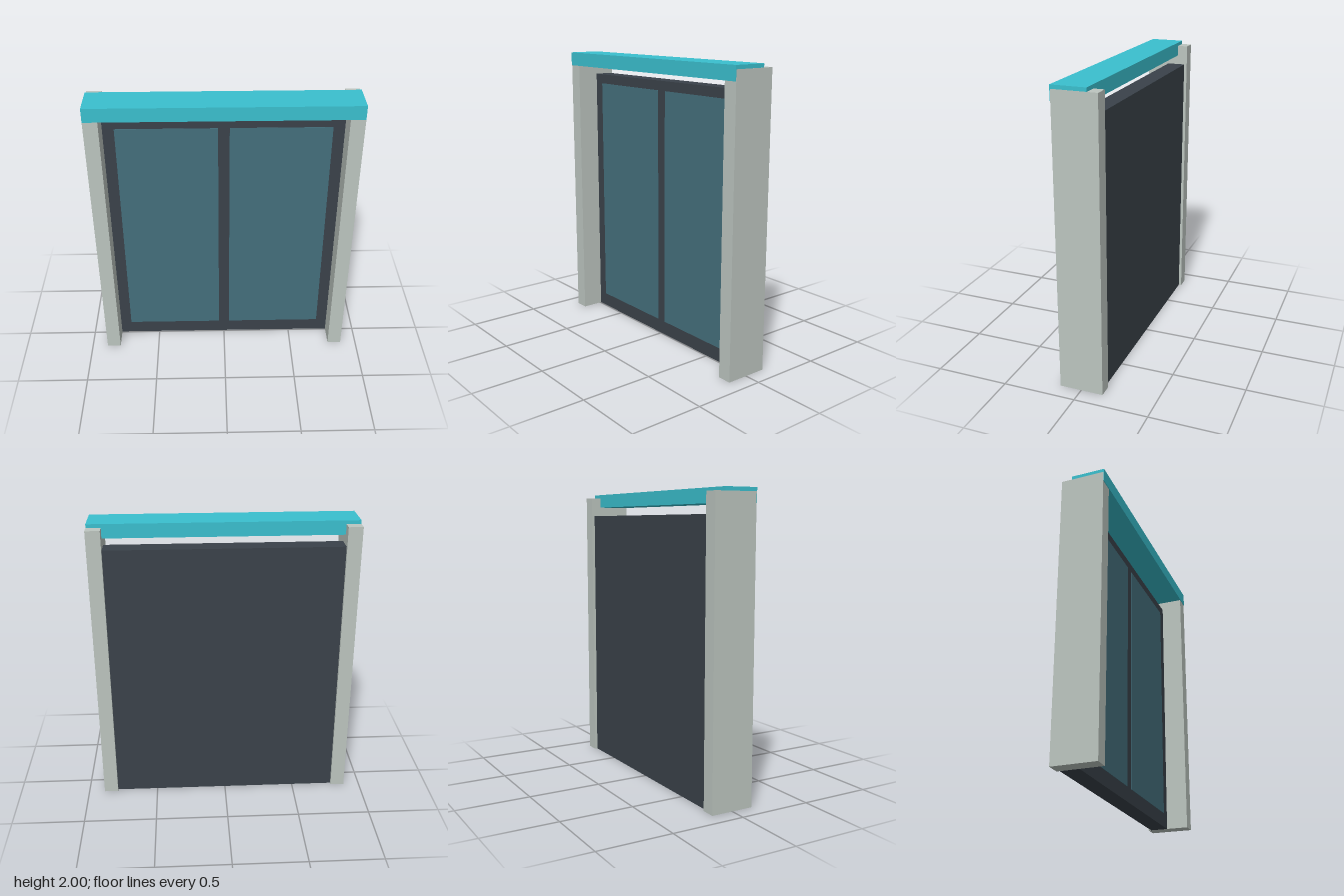
import * as THREE from 'three';

const paint = (color) => new THREE.MeshStandardMaterial({ color });

// Box given by its minimum and maximum corners
function block(name, material, [x0, y0, z0], [x1, y1, z1]) {
  const mesh = new THREE.Mesh(new THREE.BoxGeometry(x1 - x0, y1 - y0, z1 - z0), material);
  mesh.position.set((x0 + x1) / 2, (y0 + y1) / 2, (z0 + z1) / 2);
  mesh.name = name;
  return mesh;
}

export function createModel() {
  const model = new THREE.Group();
  model.name = 'slidingDoor';

  const postPaint = paint(0xbcc5bf);
  const doorPaint = paint(0x3a424a);
  const glassPaint = paint(0x446f7c);
  const headerPaint = paint(0x3abfce);

  // Door slab between the posts, set towards the back
  model.add(block('doorPanel', doorPaint, [-0.79, 0, -0.13], [0.79, 1.84, -0.006]));

  // Header beam across the front of the posts
  model.add(block('header', headerPaint, [-0.886, 1.905, -0.08], [0.886, 2, 0.152]));

  for (const [side, s] of [['left', 1], ['right', -1]]) {
    // Side posts
    const post = block(side + 'Post', postPaint, [0.79, 0, -0.15], [0.887, 1.975, 0.148]);
    // Thin glass panes on the front of the slab
    const glass = block(side + 'Glass', glassPaint, [0.038, 0.1, -0.02], [0.713, 1.773, -0.003]);
    for (const part of [post, glass]) {
      part.position.x *= s;
      model.add(part);
    }
  }
  return model;
}
